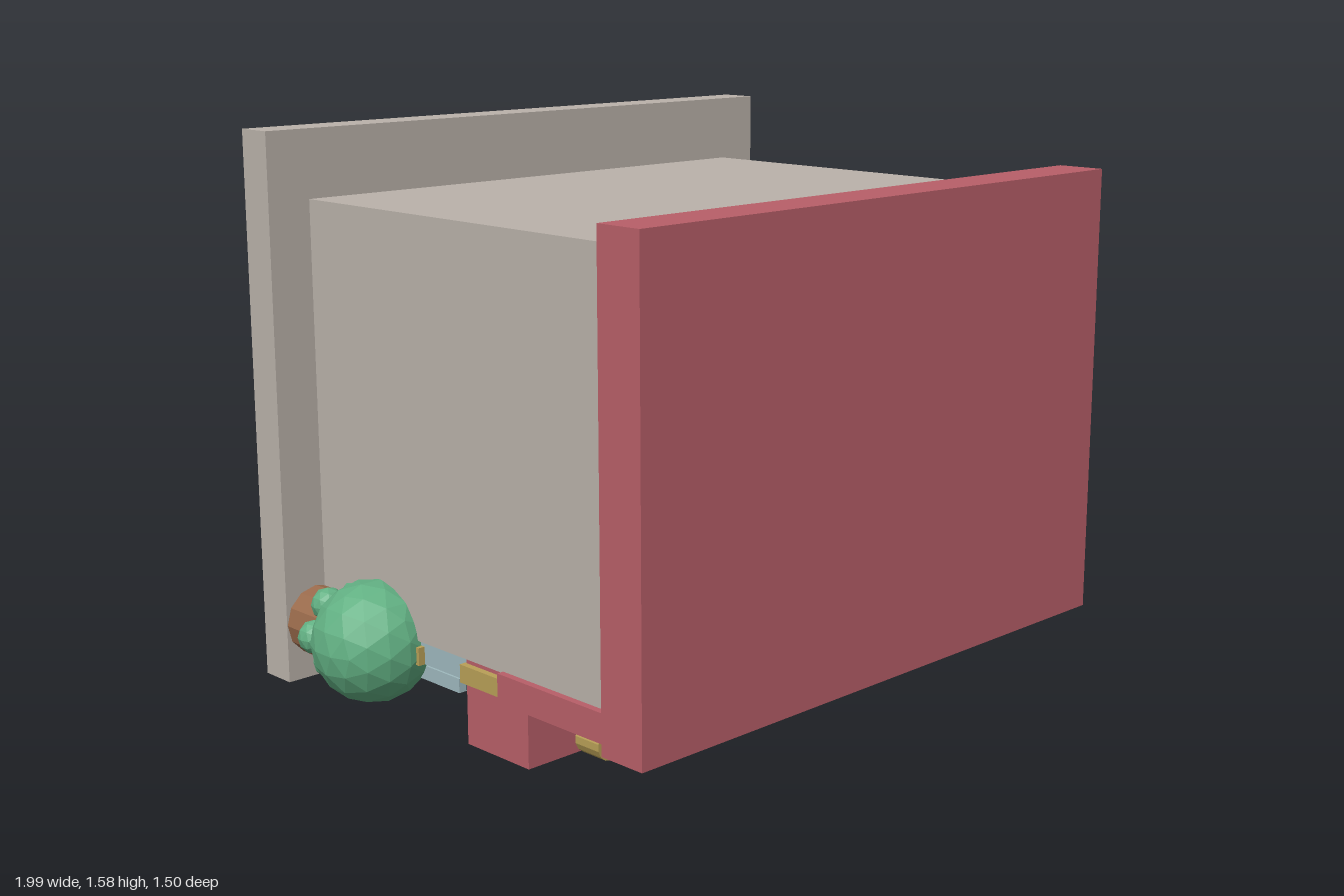
import * as THREE from 'three';

export function createModel() {
  const root = new THREE.Group();
  root.name = 'shopLyingOnItsFront';

  const mat = (name, color) => {
    const m = new THREE.MeshStandardMaterial({ color, flatShading: true });
    m.name = name;
    return m;
  };
  const red = mat('red', 0xb85f68);
  const stone = mat('stone', 0xbab2aa);
  const green = mat('leafGreen', 0x62b083);
  const brown = mat('brown', 0x9a6b4c);
  const gold = mat('gold', 0xb9a057);
  const glass = mat('paleBlue', 0x9fb9be);

  const add = (name, geometry, material, x, y, z, parent = root) => {
    const m = new THREE.Mesh(geometry, material);
    m.name = name;
    m.position.set(x, y, z);
    parent.add(m);
    return m;
  };
  // Box given by its ranges on each axis
  const box = (name, material, [x0, x1], [y0, y1], [z0, z1]) =>
    add(name, new THREE.BoxGeometry(x1 - x0, y1 - y0, z1 - z0), material,
      (x0 + x1) / 2, (y0 + y1) / 2, (z0 + z1) / 2);

  // Main masses: the shop's top points to +z, its street side points down
  box('building', stone, [-0.8, 0.8], [0.24, 1.39], [-0.64, 0.61]);
  box('roofSlab', red, [-0.89, 0.89], [0.175, 1.45], [0.61, 0.75]);
  box('baseSlab', stone, [-0.93, 0.93], [0.045, 1.58], [-0.75, -0.64]);

  // Sign board and trim beam
  box('signBoard', red, [-0.82, 0.82], [0.165, 0.245], [0.14, 0.585]);
  box('trimBeam', gold, [-0.81, 0.81], [0.175, 0.225], [-0.025, 0.14]);

  // Striped awning
  for (let i = 0; i < 8; i++) {
    const x = (i - 3.5) * 0.199;
    box('awningStripe', i % 2 ? stone : red, [x - 0.095, x + 0.095], [0, 0.24], [-0.02, 0.225]);
  }

  // Door with its bar and knob
  box('door', brown, [-0.24, 0.24], [0.155, 0.24], [-0.64, -0.09]);
  box('doorBar', gold, [-0.18, 0.18], [0.115, 0.155], [-0.34, -0.305]);
  add('doorKnob', new THREE.IcosahedronGeometry(0.022, 1), gold, 0.14, 0.135, -0.375);

  for (const s of [-1, 1]) {
    const span = (a, b) => (s > 0 ? [a, b] : [-b, -a]);

    // Shop window with mullions and goods
    box('windowPane', glass, span(0.24, 0.79), [0.175, 0.24], [-0.62, -0.02]);
    for (const x of [0.23, 0.49, 0.75])
      box('mullion', glass, span(x - 0.0125, x + 0.0125), [0.115, 0.155], [-0.55, -0.09]);
    for (const x of [0.36, 0.615])
      box('windowGoods', green, span(x - 0.06, x + 0.06), [0.14, 0.18], [-0.39, -0.27]);

    // Small side bracket
    box('sideBracket', gold, span(0.77, 0.81), [0.175, 0.225], [-0.3, -0.2]);

    // Lamp below the sign
    add('signLamp', new THREE.CylinderGeometry(0.043, 0.043, 0.085, 14), gold,
      s * 0.73, 0.122, 0.427).rotation.x = Math.PI / 2;

    // Potted bush with a ring of small leaves
    const plant = new THREE.Group();
    plant.name = 'pottedBush';
    plant.position.set(s * 0.83, 0.21, 0);
    root.add(plant);
    add('pot', new THREE.CylinderGeometry(0.1, 0.098, 0.13, 12), brown, 0, 0, -0.577, plant)
      .rotation.x = Math.PI / 2;
    add('bush', new THREE.IcosahedronGeometry(0.17, 2), green, 0, 0, -0.375, plant);
    for (let i = 0; i < 6; i++) {
      const a = (i / 6) * Math.PI * 2;
      add('leafClump', new THREE.IcosahedronGeometry(0.048, 1), green,
        s * 0.095 * Math.cos(a), 0.095 * Math.sin(a), -0.512, plant);
    }
  }
  return root;
}
